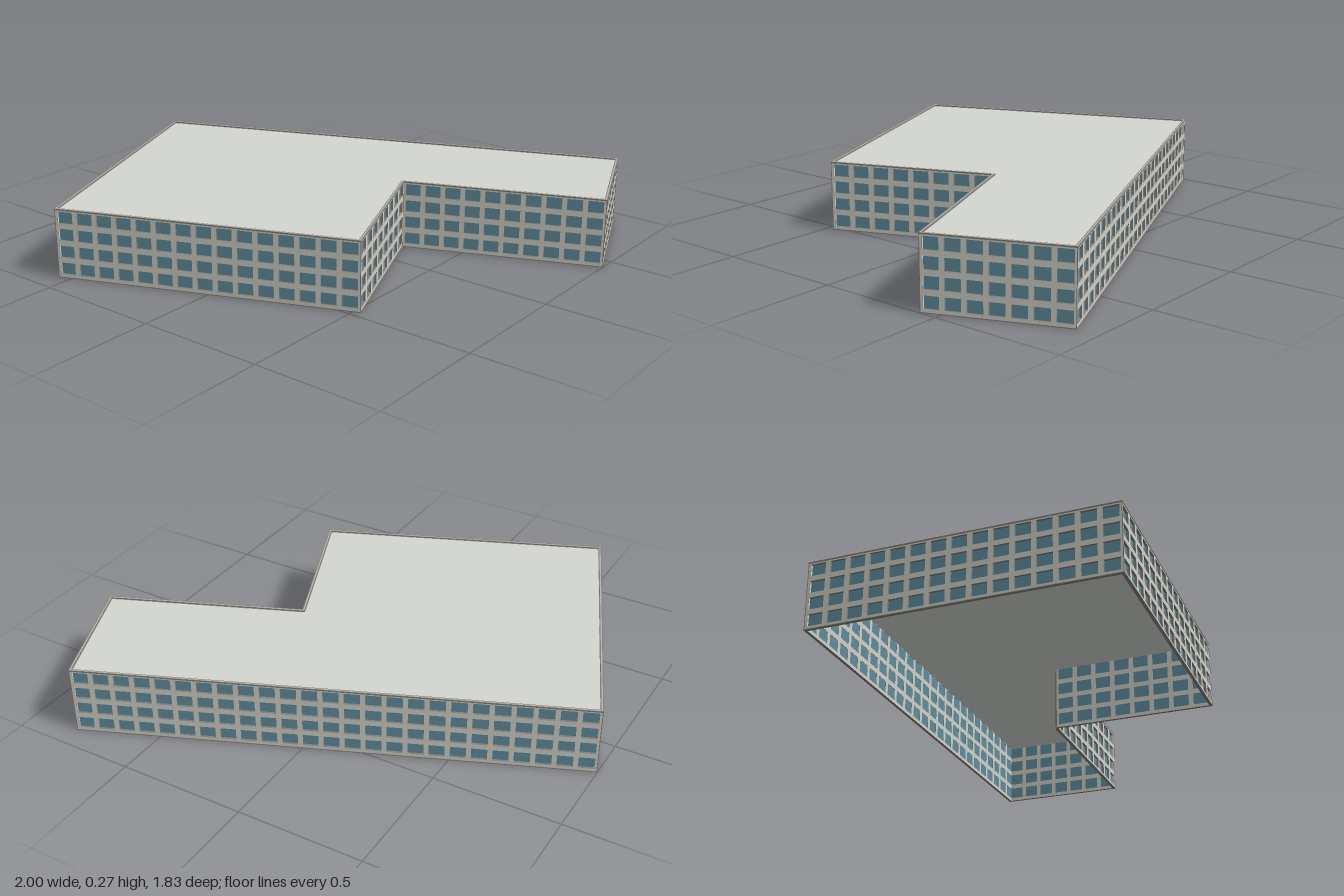
import * as THREE from 'three';

const mat = (name, color, side = THREE.FrontSide) =>
  Object.assign(new THREE.MeshStandardMaterial({ color, side }), { name });
const concrete = mat('concrete', 0xd0d0c8);
const roofGrey = mat('roofGrey', 0xd3d6d0);
const coping = mat('copingGrey', 0xb4b2ab);
const trim = mat('darkTrim', 0x827e78);
const glass = mat('blueGlass', 0x5f8c9c, THREE.DoubleSide);

const HEIGHT = 0.272, RECESS = 0.01, ROWS = 4, BAY = 0.078;

// Footprint corners as (x, z), running left to right as each wall is seen from outside
const corners = [
  [-0.547, 0.911], [0.526, 0.469], [0.278, -0.135],
  [0.997, -0.432], [0.797, -0.913], [-0.997, -0.175],
].map(([x, z]) => new THREE.Vector2(x, -z));

// Footprint moved outward by d, with mitred corners
function offset(d) {
  return corners.map((p, i) => {
    const a = corners[(i + 5) % 6], b = corners[(i + 1) % 6];
    const u = p.clone().sub(a).normalize(), v = b.clone().sub(p).normalize();
    const n = new THREE.Vector2(u.y + v.y, -u.x - v.x);
    return p.clone().addScaledVector(n, d / (1 + u.dot(v)));
  });
}

// Horizontal slab, or ring when an inner outline is given
function slab(name, material, outer, inner, y, height) {
  const shape = new THREE.Shape(outer);
  if (inner) shape.holes.push(new THREE.Path(inner));
  const g = new THREE.ExtrudeGeometry(shape, { depth: height, bevelEnabled: false });
  g.rotateX(-Math.PI / 2);
  const mesh = new THREE.Mesh(g, material);
  mesh.name = name;
  mesh.position.y = y;
  return mesh;
}

function rect(Type, x, y, w, h) {
  return new Type([[x, y], [x + w, y], [x + w, y + h], [x, y + h]]
    .map(([a, b]) => new THREE.Vector2(a, b)));
}

// Wall pierced by a window grid with dark reveals, glazed at its inner face
function facade(p, q) {
  const wall = new THREE.Group();
  wall.name = 'facade';
  const length = p.distanceTo(q);
  const bays = Math.round(length / BAY), pitch = length / bays;
  const w = pitch * 0.76, h = 0.047;
  const shape = rect(THREE.Shape, 0.001, 0, length - 0.002, HEIGHT - 0.004);
  for (let r = 0; r < ROWS; r++) {
    for (let c = 0; c < bays; c++) {
      shape.holes.push(rect(THREE.Path, c * pitch + (pitch - w) / 2, 0.0135 + r * 0.067, w, h));
    }
  }
  const g = new THREE.ExtrudeGeometry(shape, { depth: RECESS, bevelEnabled: false });
  g.translate(0, 0, -RECESS);
  const frame = new THREE.Mesh(g, [concrete, trim]);
  frame.name = 'wallGrid';
  const pane = new THREE.Mesh(new THREE.PlaneGeometry(length - 0.01, HEIGHT - 0.016), glass);
  pane.name = 'windowGlass';
  pane.position.set(length / 2, HEIGHT / 2, -RECESS + 0.001);
  wall.add(frame, pane);
  wall.position.set(p.x, 0, -p.y);
  wall.rotation.y = Math.atan2(q.y - p.y, q.x - p.x);
  return wall;
}

export function createModel() {
  const model = new THREE.Group();
  model.name = 'officeBuilding';

  corners.forEach((p, i) => {
    const wall = facade(p, corners[(i + 1) % 6]);
    model.add(wall);
    // Thin corner strip
    const post = new THREE.Mesh(new THREE.BoxGeometry(0.0025, HEIGHT - 0.004, 0.0025), trim);
    post.name = 'cornerStrip';
    post.position.set(p.x, HEIGHT / 2, -p.y);
    post.rotation.y = wall.rotation.y;
    model.add(post);
  });

  // Thin roof deck over the open shell, edged by a coping between two dark lines
  model.add(
    slab('roof', roofGrey, offset(-0.005), null, 0.262, 0.004),
    slab('copingOuterEdge', trim, offset(0.002), offset(-0.001), HEIGHT - 0.005, 0.005),
    slab('coping', coping, offset(-0.001), offset(-0.006), HEIGHT - 0.005, 0.005),
    slab('copingInnerEdge', trim, offset(-0.006), offset(-0.009), HEIGHT - 0.005, 0.005),
    slab('baseStrip', trim, offset(0.002), offset(-0.001), 0, 0.003),
  );
  return model;
}
